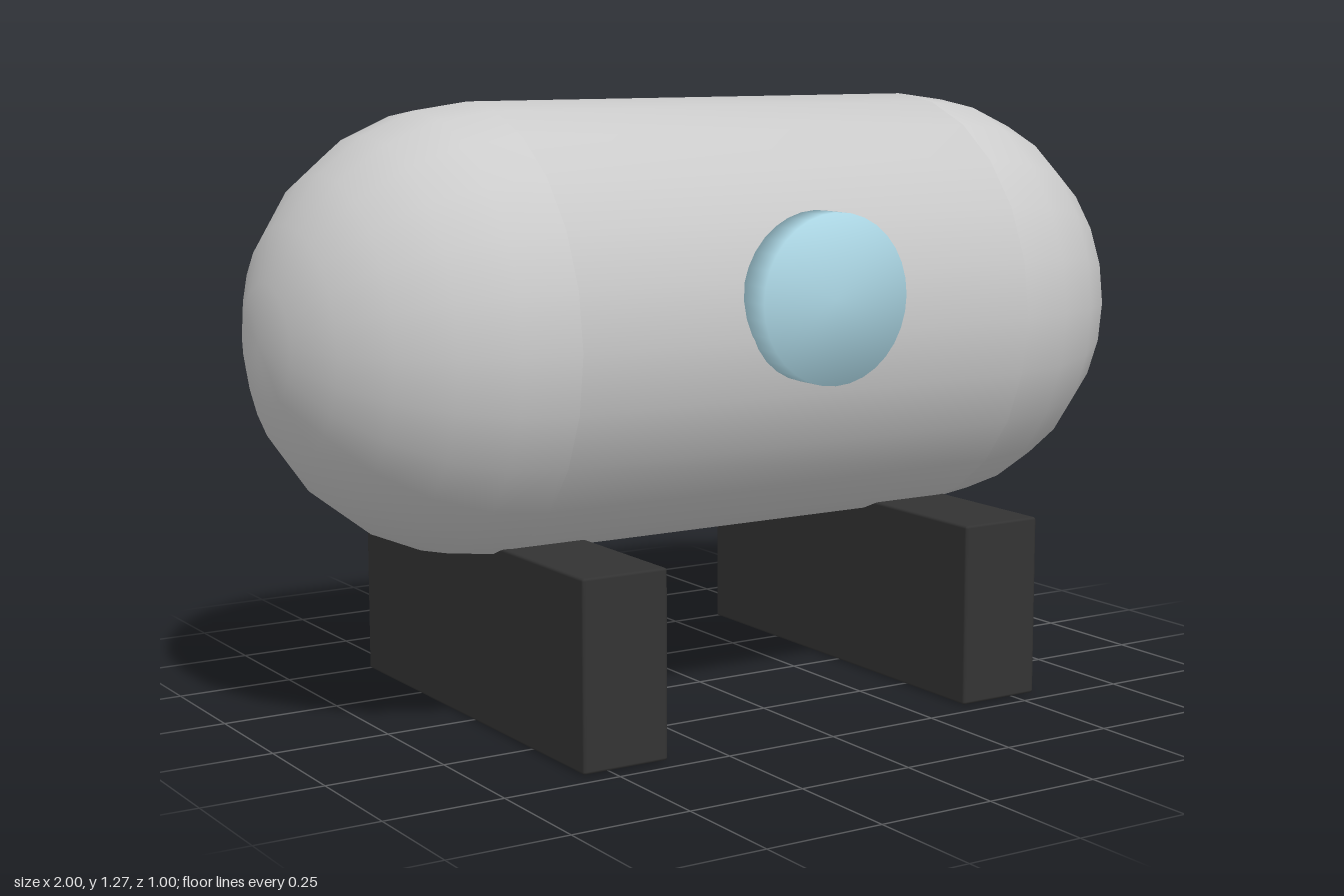
import * as THREE from 'three';
import { mergeVertices } from 'three/addons/utils/BufferGeometryUtils.js';
import { RoundedBoxGeometry } from 'three/addons/geometries/RoundedBoxGeometry.js';

function paint(name, color) {
  const material = new THREE.MeshStandardMaterial({ color });
  material.name = name;
  return material;
}

// Capped cylinder whose normals blend softly over the rims
function softCylinder(radius, length, sides) {
  const geometry = new THREE.CylinderGeometry(radius, radius, length, sides);
  geometry.deleteAttribute('normal');
  geometry.deleteAttribute('uv');
  const merged = mergeVertices(geometry);
  merged.computeVertexNormals();
  return merged;
}

export function createModel() {
  const model = new THREE.Group();
  model.name = 'storageTank';
  const tankGrey = paint('tankGrey', 0xcccccc);
  const darkGrey = paint('darkGrey', 0x333333);
  const paleBlue = paint('paleBlue', 0xadd8e6);

  function add(name, geometry, material, x, y, z) {
    const mesh = new THREE.Mesh(geometry, material);
    mesh.name = name;
    mesh.position.set(x, y, z);
    model.add(mesh);
    return mesh;
  }

  const radius = 0.46, halfLength = 0.54, tankY = 0.81, tankZ = -0.02;

  // Horizontal tank body
  const body = softCylinder(radius, halfLength * 2, 24).rotateZ(Math.PI / 2);
  add('tankBody', body, tankGrey, 0, tankY, tankZ);

  // Round ends and the support under each
  for (const [side, s] of [['left', 1], ['right', -1]]) {
    const dome = new THREE.SphereGeometry(radius, 24, 6, 0, Math.PI * 2, 0, Math.PI / 2);
    dome.rotateZ(-s * Math.PI / 2);
    add(side + 'Dome', dome, tankGrey, s * halfLength, tankY, tankZ);

    const block = new RoundedBoxGeometry(0.19, 0.385, 0.96, 1, 0.006);
    add(side + 'Support', block, darkGrey, s * 0.462, 0.1925, tankZ);
  }

  // Round gauge on the front
  const gauge = softCylinder(0.172, 0.075, 32).rotateX(Math.PI / 2);
  add('gauge', gauge, paleBlue, 0, 0.887, 0.4625);

  return model;
}
